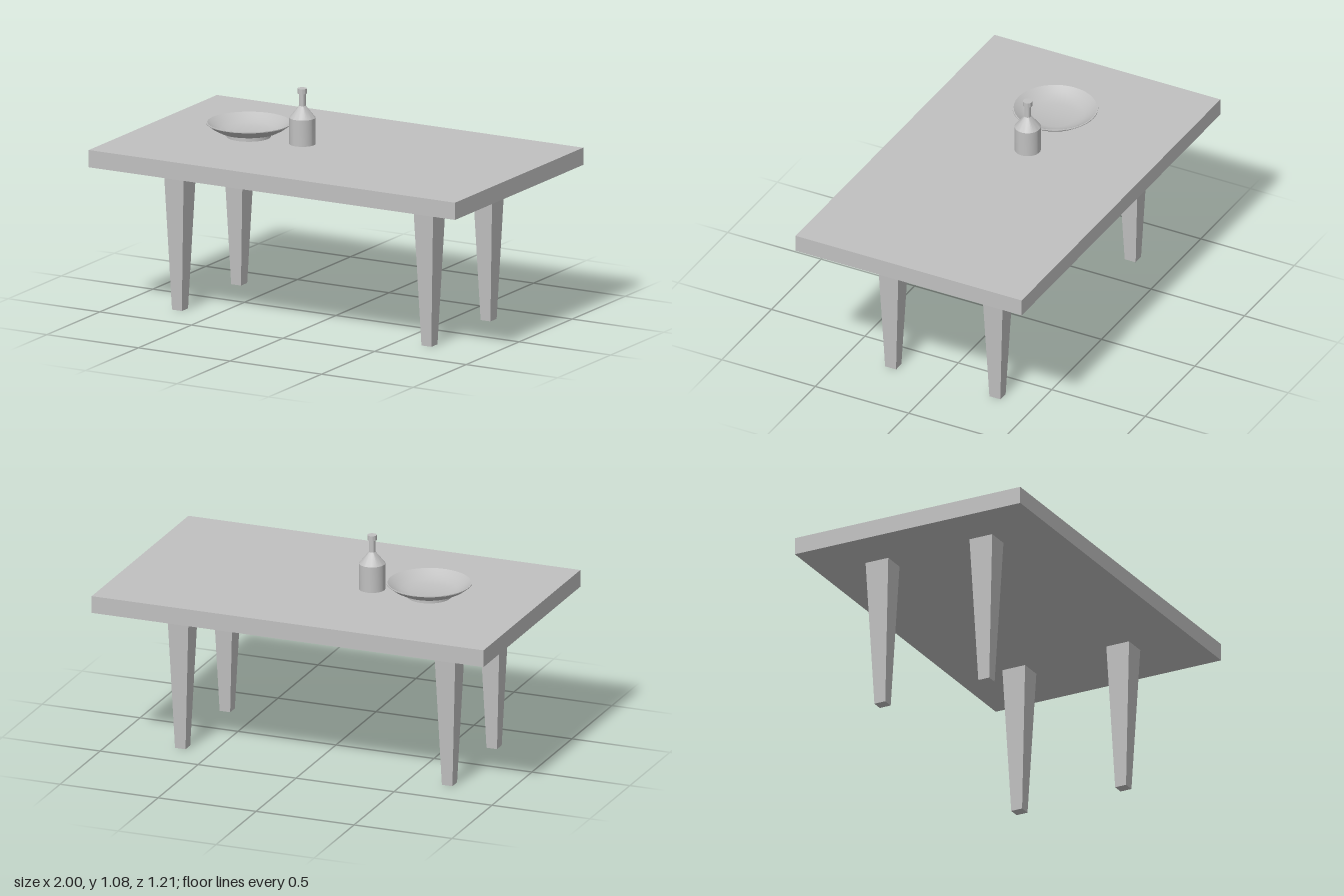
import * as THREE from 'three';
import { toCreasedNormals } from 'three/addons/utils/BufferGeometryUtils.js';

export function createModel() {
  const group = new THREE.Group();
  const grey = new THREE.MeshStandardMaterial({ color: 0xc0c0c0 });
  grey.name = 'plain grey';

  const add = (name, geometry, x, y, z) => {
    const mesh = new THREE.Mesh(geometry, grey);
    mesh.name = name;
    mesh.position.set(x, y, z);
    group.add(mesh);
  };

  // Turned part from [radius, height] points, with crisp edges between bands
  const turned = (points, crease) => toCreasedNormals(
    new THREE.LatheGeometry(points.map(([r, y]) => new THREE.Vector2(r, y)), 40), crease);

  // Table top
  const topY = 0.813, underY = 0.729;
  add('tableTop', new THREE.BoxGeometry(2, topY - underY, 1.21), 0, (topY + underY) / 2, 0);

  // Legs: boxes narrowing towards the floor
  const leg = new THREE.BoxGeometry(0.112, underY, 0.122);
  const p = leg.attributes.position;
  for (let i = 0; i < p.count; i++) {
    if (p.getY(i) < 0) p.setXYZ(i, p.getX(i) * 0.48, p.getY(i), p.getZ(i) * 0.48);
  }
  leg.computeVertexNormals();
  for (const [side, x] of [['left', 0.662], ['right', -0.7]]) {
    for (const [end, z] of [['Front', 0.262], ['Back', -0.296]]) {
      add(side + end + 'Leg', leg, x, underY / 2, z);
    }
  }

  // Shallow bowl on a round foot
  add('bowl', turned([
    [0, 0], [0.105, 0], [0.105, 0.018], [0.14, 0.026], [0.172, 0.043], [0.203, 0.066],
    [0.203, 0.07], [0.197, 0.07], [0.168, 0.049], [0.137, 0.033], [0.1, 0.024], [0, 0.024],
  ], 0.45), -0.476, topY, 0);

  // Bottle with sloping shoulder, thin neck and cap
  add('bottle', turned([
    [0, 0], [0.0625, 0], [0.0625, 0.128], [0.016, 0.186], [0.016, 0.246],
  ], 0.5), -0.187, topY, -0.006);
  add('bottleCap', turned([
    [0, 0], [0.0225, 0], [0.0225, 0.024], [0, 0.024],
  ], 0.5), -0.187, topY + 0.246, -0.006);

  return group;
}
